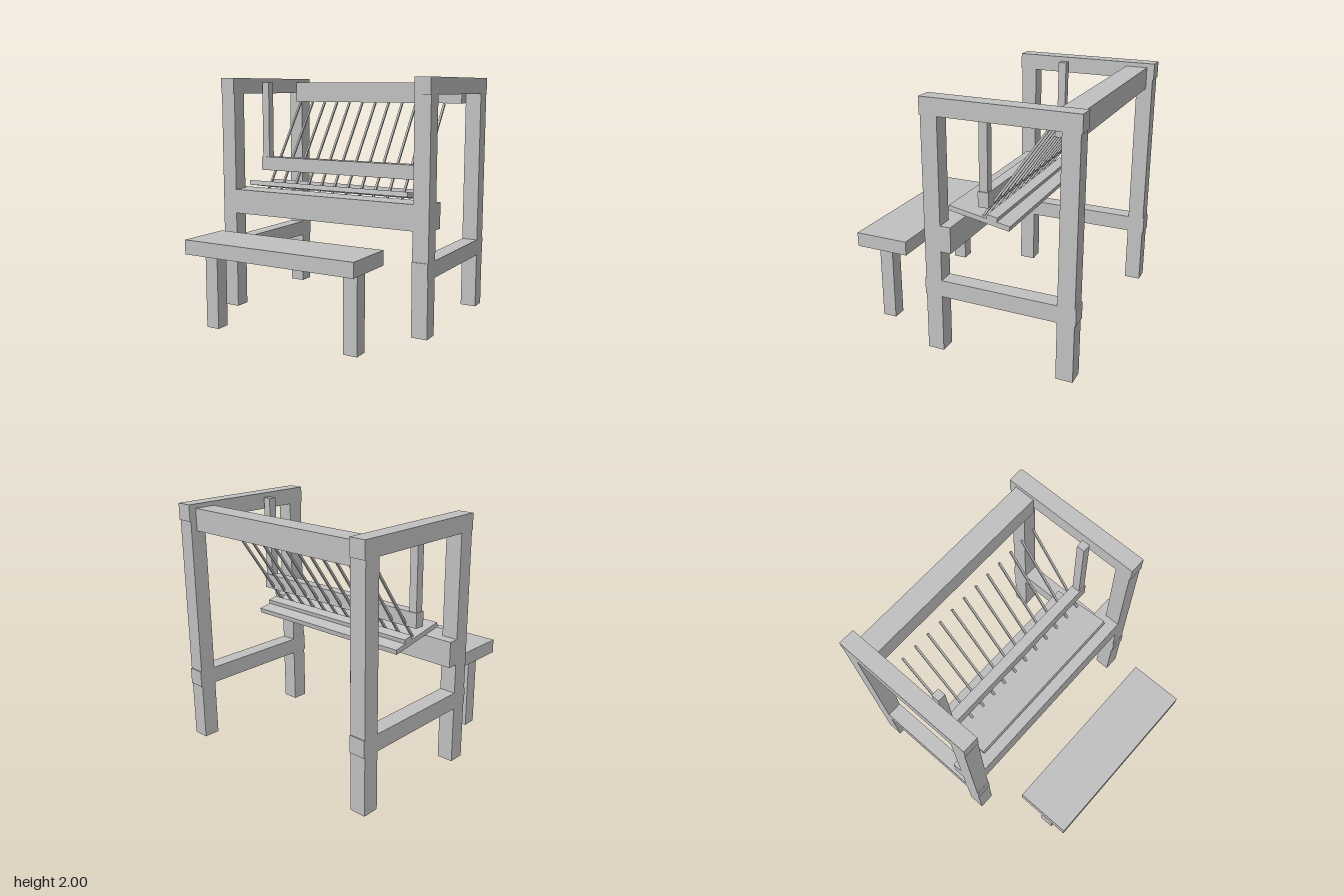
import * as THREE from 'three';

const wood = new THREE.MeshStandardMaterial({ color: 0xc0c0c0 });
wood.name = 'plain grey';

// Box given by its [min, max] extents on each axis
function block(parent, name, [x0, x1], [y0, y1], [z0, z1]) {
  const mesh = new THREE.Mesh(new THREE.BoxGeometry(x1 - x0, y1 - y0, z1 - z0), wood);
  mesh.position.set((x0 + x1) / 2, (y0 + y1) / 2, (z0 + z1) / 2);
  mesh.name = name;
  parent.add(mesh);
  return mesh;
}

function group(parent, name) {
  const g = new THREE.Group();
  g.name = name;
  parent.add(g);
  return g;
}

// Same block on the left (+x) and right (-x)
function pair(parent, name, [x0, x1], y, z) {
  block(parent, name + 'Left', [x0, x1], y, z);
  block(parent, name + 'Right', [-x1, -x0], y, z);
}

export function createModel() {
  const model = new THREE.Group();
  model.name = 'loomAndBench';

  // Main frame: posts, side rails and cross beams
  const frame = group(model, 'frame');
  const postX = [0.84, 0.974];
  pair(frame, 'frontPost', postX, [0, 1.87], [0.084, 0.216]);
  pair(frame, 'backPost', postX, [0, 1.87], [-0.975, -0.842]);
  pair(frame, 'topRail', postX, [1.867, 2], [-0.984, 0.225]);
  pair(frame, 'lowerRail', postX, [0.465, 0.6], [-0.984, 0.225]);
  block(frame, 'frontBeam', [-0.974, 0.974], [0.837, 1.045], [0, 0.216]);
  block(frame, 'backBeam', [-0.84, 0.84], [1.786, 1.965], [-0.922, -0.743]);

  // Hanging beater: two uprights and a cross bar
  const beater = group(model, 'beater');
  pair(beater, 'beaterUpright', [0.752, 0.82], [1.3, 1.965], [-0.231, -0.163]);
  block(beater, 'beaterBar', [-0.828, 0.828], [1.182, 1.302], [-0.24, -0.155]);

  // Sloping board with a raised strip
  const board = group(model, 'slopingBoard');
  board.position.set(0, 1.059, -0.122);
  board.rotation.x = THREE.MathUtils.degToRad(-10);
  block(board, 'boardPanel', [-0.754, 0.754], [-0.02, 0.02], [-0.256, 0.256]);
  block(board, 'boardStrip', [-0.754, 0.754], [0.02, 0.054], [-0.148, -0.062]);

  // Row of slanted rods passing through the board
  const rods = group(model, 'rods');
  const low = new THREE.Vector3(0, 1.025, -0.115);
  const high = new THREE.Vector3(0, 1.787, -0.647);
  const span = high.clone().sub(low);
  const rodGeometry = new THREE.BoxGeometry(0.017, span.length(), 0.017);
  for (let i = 0; i < 12; i++) {
    const rod = new THREE.Mesh(rodGeometry, wood);
    rod.name = 'rod' + (i + 1);
    rod.position.copy(low).add(high).multiplyScalar(0.5);
    rod.position.x = -0.724 + (i * 1.448) / 11;
    rod.rotation.x = Math.atan2(span.z, span.y);
    rods.add(rod);
  }

  // Bench
  const bench = group(model, 'bench');
  block(bench, 'benchSeat', [-0.754, 0.754], [0.626, 0.742], [0.53, 0.984]);
  pair(bench, 'benchLeg', [0.576, 0.692], [0, 0.626], [0.699, 0.815]);

  return model;
}
